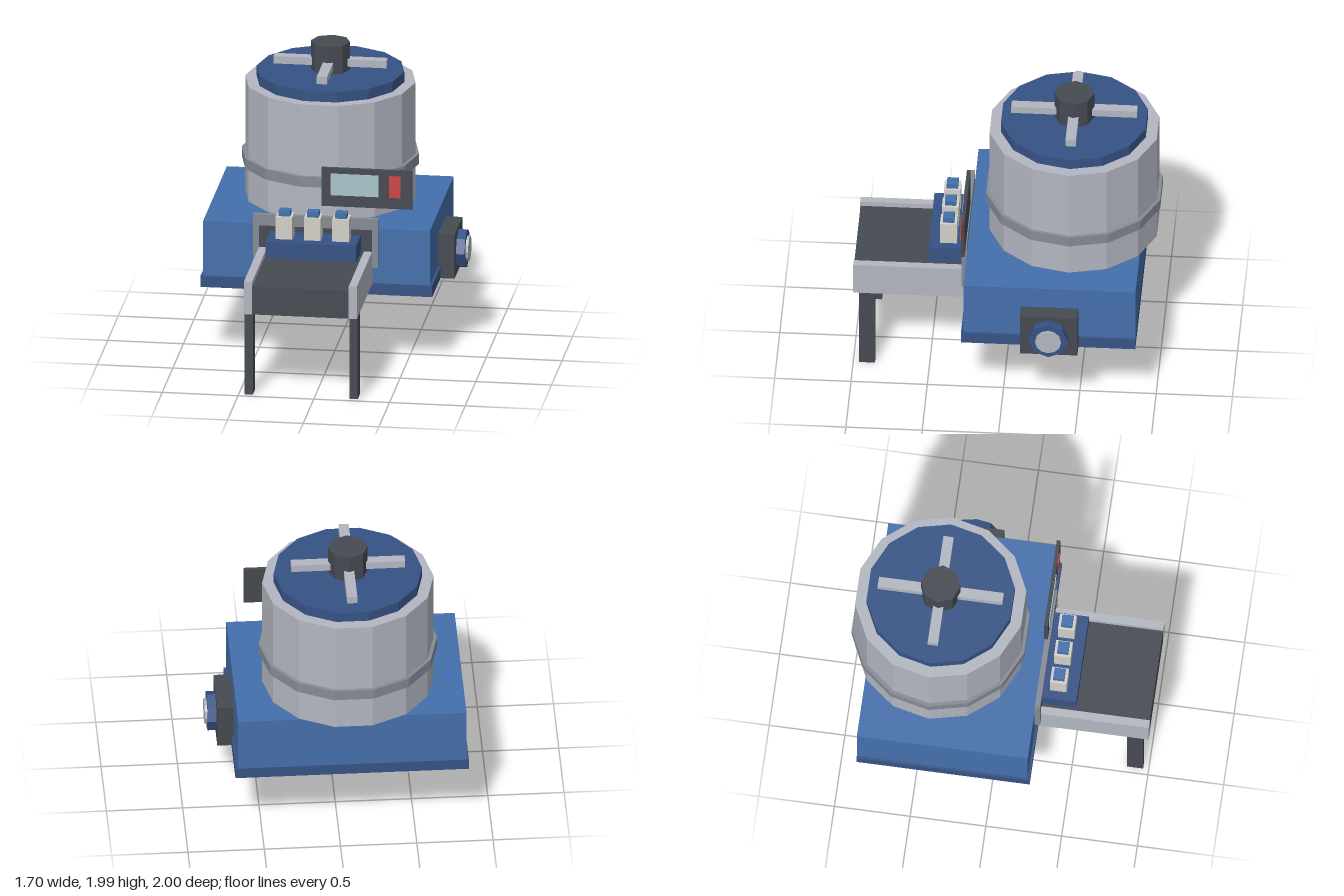
import * as THREE from 'three';

const paint = (name, color) => {
  const m = new THREE.MeshStandardMaterial({ color, flatShading: true });
  m.name = name;
  return m;
};

export function createModel() {
  const blue = paint('body blue', 0x4570ac);
  const navy = paint('navy', 0x365385);
  const light = paint('light steel', 0xb3b7c1);
  const mid = paint('mid steel', 0x868b95);
  const dark = paint('charcoal', 0x464a51);
  const cream = paint('cream', 0xd2d0c7);
  const glass = paint('screen glass', 0xaac6ca);
  const red = paint('button red', 0xcc4646);

  const model = new THREE.Group();
  model.name = 'drumMachine';

  const add = (name, geometry, material, x, y, z) => {
    const mesh = new THREE.Mesh(geometry, material);
    mesh.name = name;
    mesh.position.set(x, y, z);
    model.add(mesh);
    return mesh;
  };
  // Box given by its limits along each axis
  const box = (name, material, x0, x1, y0, y1, z0, z1) =>
    add(name, new THREE.BoxGeometry(x1 - x0, y1 - y0, z1 - z0), material,
      (x0 + x1) / 2, (y0 + y1) / 2, (z0 + z1) / 2);

  const CX = -0.088, CZ = -0.425; // drum axis
  // Upright prism on the drum axis with corners pointing along x
  const drumPart = (name, material, r, y0, y1, sides = 14) =>
    add(name, new THREE.CylinderGeometry(r, r, y1 - y0, sides, 1, false, Math.PI / 2),
      material, CX, (y0 + y1) / 2, CZ);

  // Housing
  box('plinth', navy, -0.85, 0.68, 0.49, 0.565, -0.875, 0.268);
  box('housing', blue, -0.835, 0.662, 0.565, 0.94, -0.875, 0.253);

  // Drum, band and lid
  drumPart('drum', light, 0.562, 0.94, 1.73);
  drumPart('drumBand', mid, 0.585, 1.17, 1.24);
  drumPart('lid', navy, 0.487, 1.73, 1.8);
  drumPart('lidHub', dark, 0.13, 1.8, 1.99, 8);
  box('lidBarAcross', light, CX - 0.373, CX + 0.373, 1.83, 1.88, CZ - 0.034, CZ + 0.034);
  box('lidBarAlong', light, CX - 0.034, CX + 0.034, 1.83, 1.88, CZ - 0.412, CZ + 0.412);

  // Outlet frame around a dark opening
  const frame = new THREE.Shape();
  frame.moveTo(-0.413, 0.68).lineTo(0.413, 0.68).lineTo(0.413, 1.015).lineTo(-0.413, 1.015);
  const hole = new THREE.Path();
  hole.moveTo(-0.373, 0.72).lineTo(-0.373, 0.94).lineTo(0.373, 0.94).lineTo(0.373, 0.72);
  frame.holes.push(hole);
  add('outletFrame', new THREE.ExtrudeGeometry(frame, { depth: 0.035, bevelEnabled: false }),
    mid, CX, 0, 0.253);
  box('outletOpening', dark, CX - 0.373, CX + 0.373, 0.72, 0.94, 0.255, 0.284);

  // Discharge tray with side rails and legs
  box('trayFloor', dark, CX - 0.32, CX + 0.32, 0.565, 0.757, 0.268, 0.998);
  for (const side of [-1, 1]) {
    const x = CX + side * 0.346;
    box('trayRail', light, x - 0.027, x + 0.027, 0.565, 0.79, 0.268, 1.0);
    box('trayLeg', dark, x - 0.027, x + 0.027, 0, 0.565, 0.857, 0.963);
  }

  // Valve block with three capped valves
  box('valveBlock', navy, CX - 0.3, CX + 0.3, 0.79, 0.902, 0.284, 0.512);
  for (const i of [-1, 0, 1]) {
    const x = CX + i * 0.187;
    box('valve', cream, x - 0.055, x + 0.055, 0.902, 1.055, 0.33, 0.44);
    box('valveCap', blue, x - 0.038, x + 0.038, 1.055, 1.09, 0.348, 0.422);
  }

  // Control panel
  box('controlPanel', dark, -0.05, 0.548, 1.09, 1.353, 0.253, 0.277);
  box('screen', glass, 0.01, 0.327, 1.168, 1.316, 0.277, 0.283);
  box('stopButton', red, 0.397, 0.472, 1.168, 1.316, 0.277, 0.286);

  // Side drive
  box('driveMount', dark, 0.662, 0.773, 0.49, 0.79, -0.502, -0.125);
  const disc = (name, material, r, x0, x1, sides) =>
    add(name, new THREE.CylinderGeometry(r, r, x1 - x0, sides).rotateZ(-Math.PI / 2),
      material, (x0 + x1) / 2, 0.64, -0.314);
  disc('driveFlange', navy, 0.13, 0.773, 0.83, 8);
  disc('driveCap', light, 0.085, 0.83, 0.847, 12);

  return model;
}
